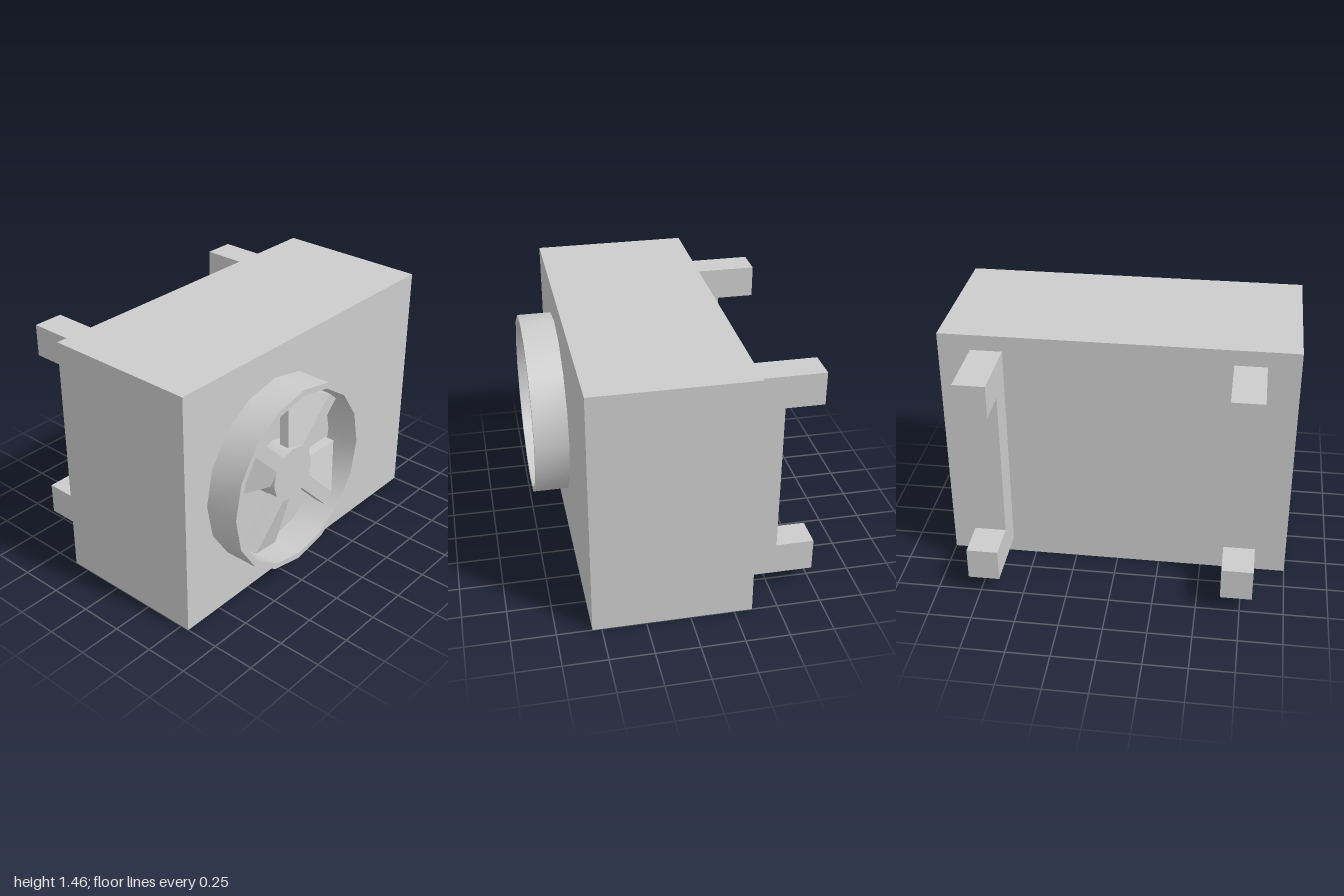
import * as THREE from 'three';
import { toCreasedNormals } from 'three/addons/utils/BufferGeometryUtils.js';

const grey = new THREE.MeshStandardMaterial({ color: 0xcccccc });

function addMesh(parent, name, geometry) {
  const mesh = new THREE.Mesh(geometry, grey);
  mesh.name = name;
  parent.add(mesh);
  return mesh;
}

// Flat plate from outline points, its front face at z = 0
function plate(points, depth) {
  const shape = new THREE.Shape(points.map(([x, y]) => new THREE.Vector2(x, y)));
  return new THREE.ExtrudeGeometry(shape, { depth, bevelEnabled: false }).translate(0, 0, -depth);
}

function createFan() {
  const fan = new THREE.Group();
  fan.name = 'fan';

  // Shroud ring, standing 0.2 out of the housing
  const profile = [[0.545, 0], [0.545, 0.2], [0.51, 0.2], [0.51, 0]]
    .map(([r, h]) => new THREE.Vector2(r, h));
  const ring = new THREE.LatheGeometry(profile, 16).rotateX(Math.PI / 2);
  addMesh(fan, 'shroudRing', toCreasedNormals(ring, 0.6));

  // Hub
  const hub = new THREE.CylinderGeometry(0.162, 0.162, 0.14, 12).rotateX(Math.PI / 2);
  const hubMesh = addMesh(fan, 'hub', toCreasedNormals(hub, 0.6));
  hubMesh.position.z = 0.07;
  hubMesh.rotation.z = 0.05;

  // Four flat spokes, each with a blade sloping back from one edge
  const hinge = 0.045, slope = 0.3;
  const spokeGeo = plate([[0.13, -0.037], [0.484, -0.037], [0.481, hinge], [0.13, hinge]], 0.06);
  const bladeGeo = plate([[0.14, hinge], [0.481, hinge], [0.368, 0.311], [0.1, 0.122]], 0.06);
  const p = bladeGeo.attributes.position;
  for (let i = 0; i < p.count; i++) p.setZ(i, p.getZ(i) - slope * (p.getY(i) - hinge));
  bladeGeo.computeVertexNormals();

  for (let i = 0; i < 4; i++) {
    const arm = new THREE.Group();
    arm.name = 'fanArm';
    addMesh(arm, 'spoke', spokeGeo);
    addMesh(arm, 'blade', bladeGeo);
    arm.position.z = 0.14;
    arm.rotation.z = Math.PI / 4 + i * Math.PI / 2;
    fan.add(arm);
  }
  return fan;
}

export function createModel() {
  const model = new THREE.Group();
  model.name = 'fanUnit';

  // Housing
  addMesh(model, 'housing', new THREE.BoxGeometry(2, 1.455, 0.905)).position.set(0, 0.7275, 0.0995);

  const fan = createFan();
  fan.position.set(-0.29, 0.73, 0.552);
  model.add(fan);

  // U-shaped wall brackets on the back
  const bracketGeo = plate([
    [0.353, 0.093], [0.754, 0.093], [0.754, 0.283], [0.535, 0.283],
    [0.535, 1.174], [0.754, 1.174], [0.754, 1.364], [0.353, 1.364],
  ], 0.18).translate(0, 0, 0.09).rotateY(Math.PI / 2);
  for (const side of [-1, 1]) {
    addMesh(model, side > 0 ? 'leftBracket' : 'rightBracket', bracketGeo).position.x = side * 0.727;
  }
  return model;
}
